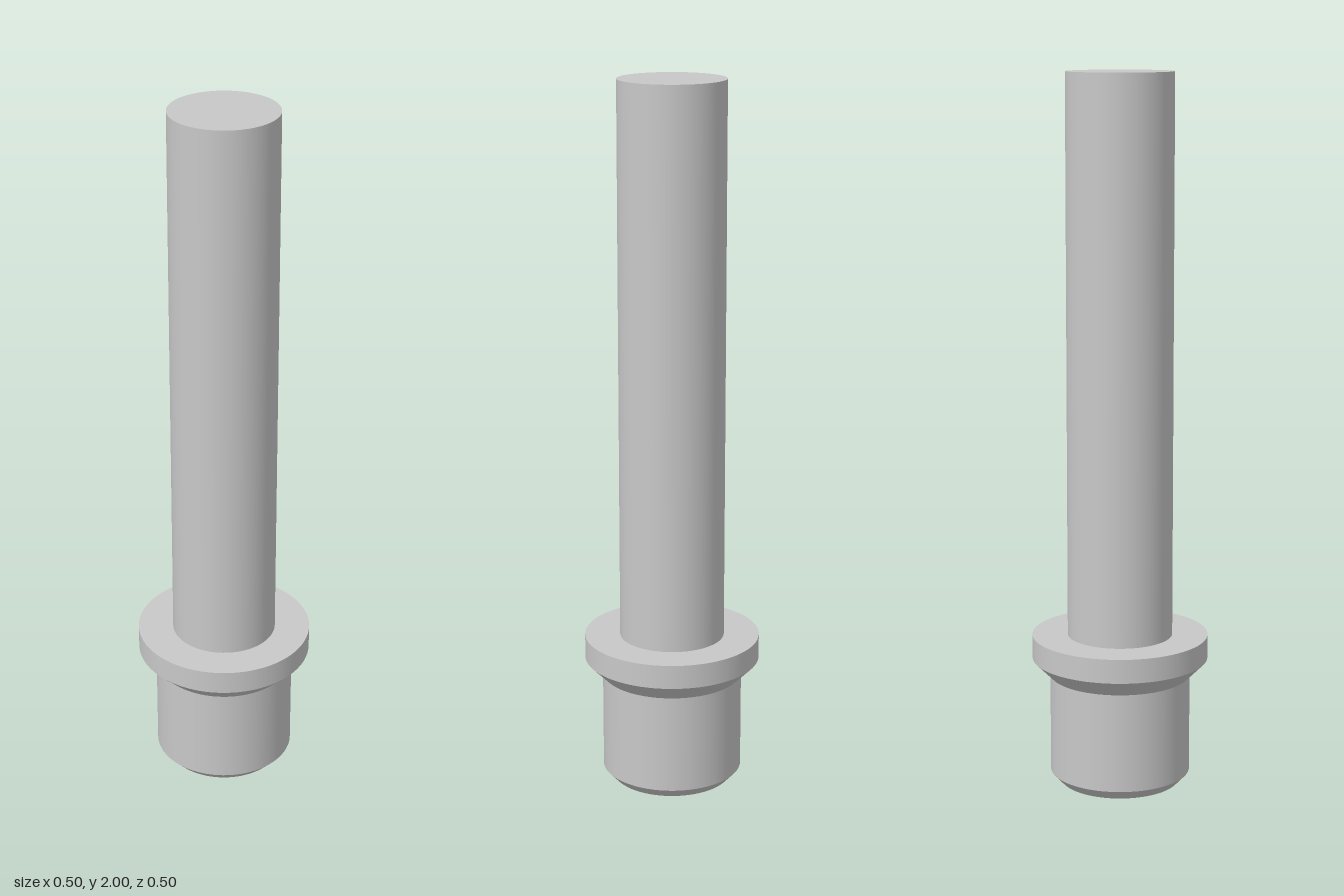
import * as THREE from 'three';
import { mergeGeometries } from 'three/addons/utils/BufferGeometryUtils.js';

const SEGMENTS = 96;

// Revolve a profile of [radius, height] points, keeping every corner crisp.
function turned(name, profile, material) {
  const bands = [];
  for (let i = 0; i < profile.length - 1; i++) {
    const ends = [profile[i], profile[i + 1]].map(([r, y]) => new THREE.Vector2(r, y));
    bands.push(new THREE.LatheGeometry(ends, SEGMENTS));
  }
  const mesh = new THREE.Mesh(mergeGeometries(bands), material);
  mesh.name = name;
  return mesh;
}

export function createModel() {
  const steel = new THREE.MeshStandardMaterial({ color: 0xc8c8c8 });
  steel.name = 'light grey steel';

  const shaftR = 0.148, flangeR = 0.248, plugR = 0.198, tipR = 0.17;
  const chamferTop = 0.03, plugTop = 0.312, flangeBottom = 0.362, flangeTop = 0.43;

  const pin = new THREE.Group();
  pin.name = 'flangedPin';
  pin.add(
    // Lower plug with a chamfered foot
    turned('plug', [[0, 0], [tipR, 0], [plugR, chamferTop], [plugR, plugTop]], steel),
    // Collar with a conical underside
    turned('flange', [[plugR, plugTop], [flangeR, flangeBottom], [flangeR, flangeTop], [shaftR, flangeTop]], steel),
    // Long upper shaft with a flat end
    turned('shaft', [[shaftR, flangeTop], [shaftR, 2], [0, 2]], steel),
  );
  return pin;
}
